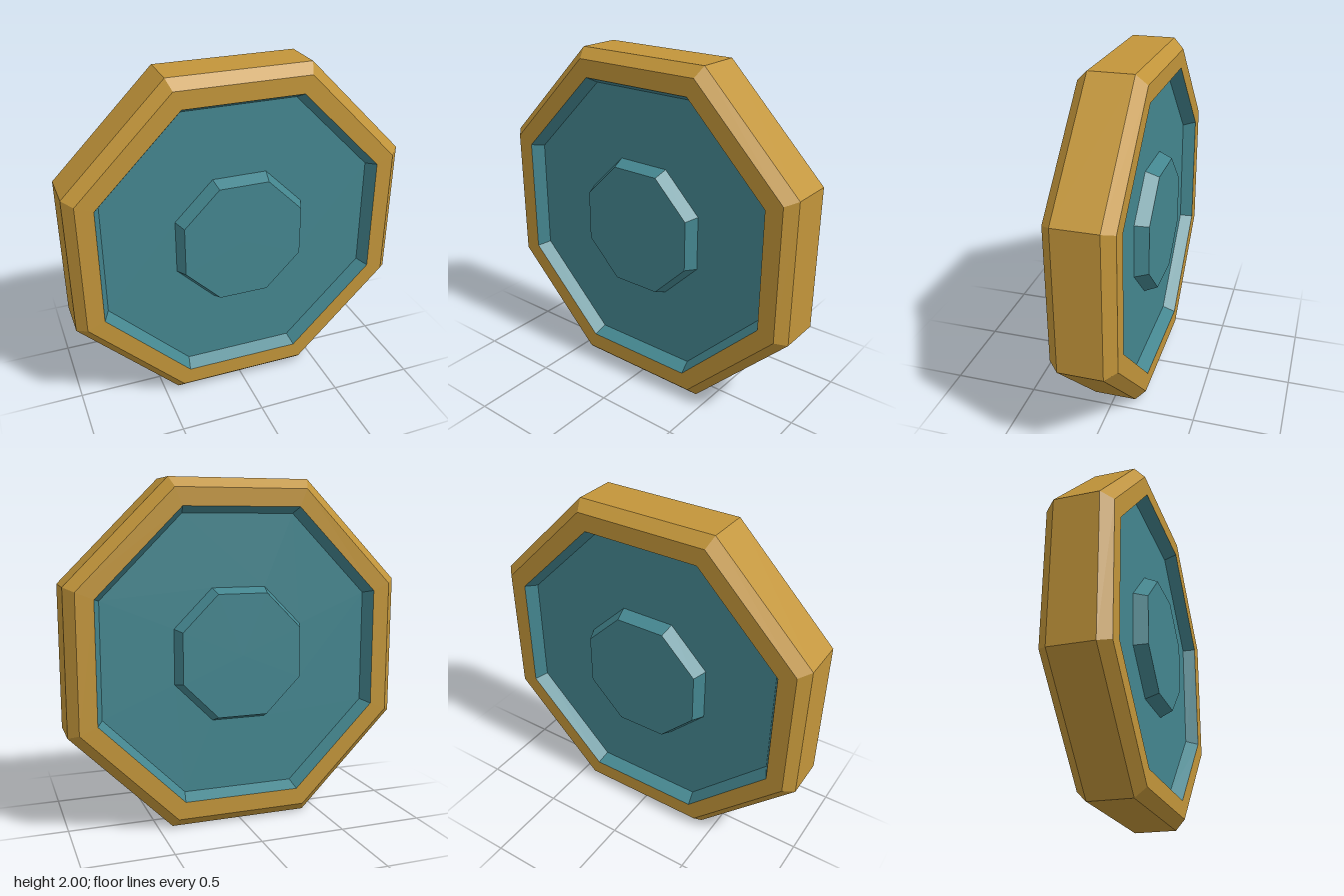
import * as THREE from 'three';

const SIDES = 8;
const gold = new THREE.MeshStandardMaterial({ color: 0xc2953a });
gold.name = 'gold';
const teal = new THREE.MeshStandardMaterial({ color: 0x44868f });
teal.name = 'teal';

// Faceted octagonal surface around z; profile points are [flat-side radius, z]
function octagon(name, profile, material) {
  const points = profile.map(([r, z]) => new THREE.Vector2(r / Math.cos(Math.PI / SIDES), z));
  const geometry = new THREE.LatheGeometry(points, SIDES, Math.PI / SIDES).toNonIndexed();
  geometry.rotateX(Math.PI / 2);
  geometry.computeVertexNormals();
  const mesh = new THREE.Mesh(geometry, material);
  mesh.name = name;
  return mesh;
}

export function createModel() {
  const model = new THREE.Group();
  model.name = 'octagonalDisc';

  const faceZ = 0.185, edgeZ = 0.125, floorZ = 0.11, hubZ = 0.188;

  // Bevelled outer rim
  model.add(octagon('rim', [
    [0.842, -faceZ], [0.943, -faceZ], [1, -edgeZ],
    [1, edgeZ], [0.943, faceZ], [0.842, faceZ],
  ], gold));

  // Recessed panel with raised hub, the same on both sides
  for (const side of ['front', 'back']) {
    const face = new THREE.Group();
    face.name = side + 'Face';
    face.add(
      octagon('recessWall', [[0.842, faceZ], [0.805, floorZ]], teal),
      octagon('panel', [[0.805, floorZ], [0.387, floorZ]], teal),
      octagon('hub', [[0.387, floorZ], [0.356, hubZ], [0, hubZ]], teal),
    );
    if (side === 'back') face.rotation.y = Math.PI;
    model.add(face);
  }

  model.children.forEach((part) => { part.position.y = 1; });
  return model;
}
